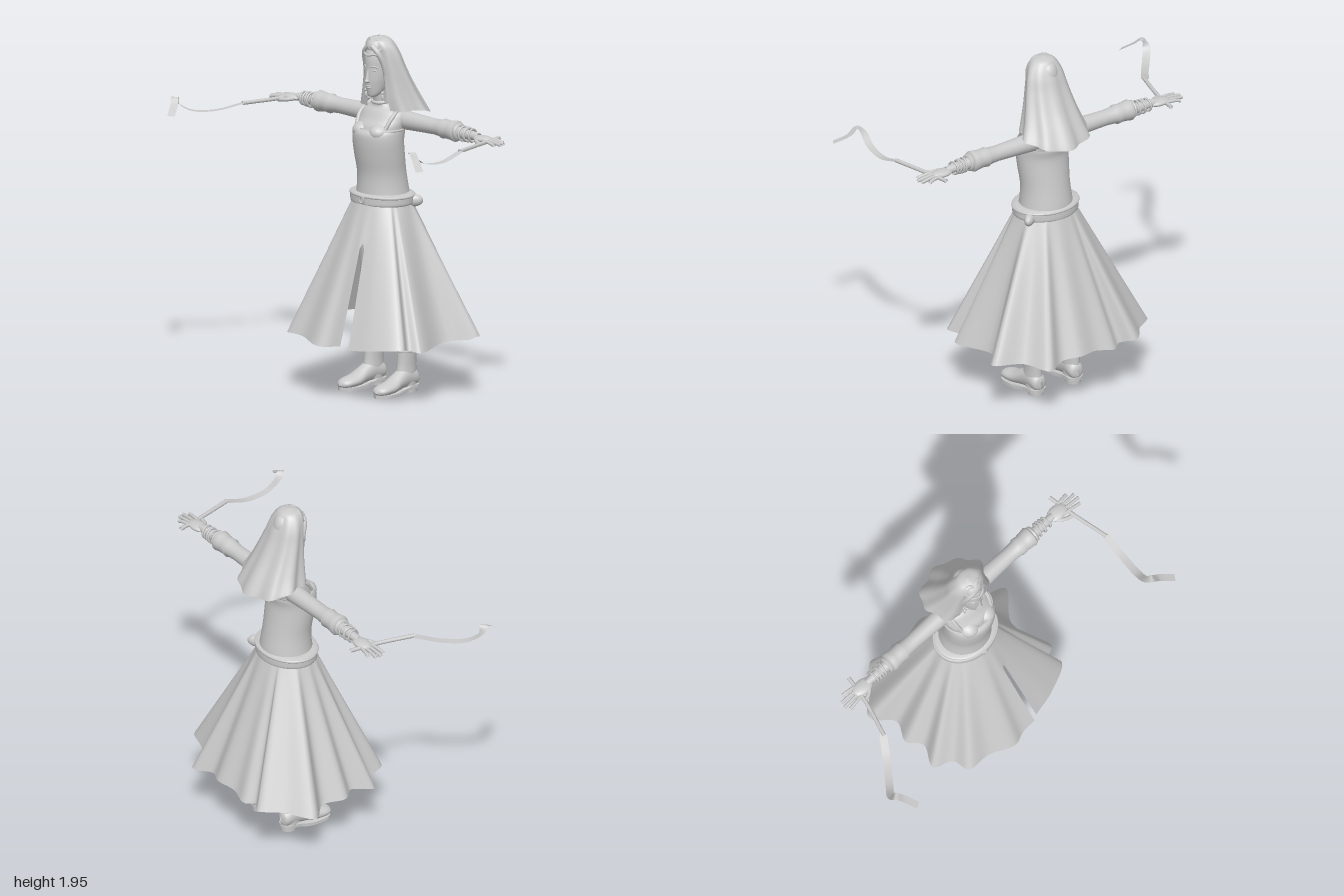
import * as THREE from 'three';

const CX = 0.057; // body axis
const grey = new THREE.MeshStandardMaterial({ color: 0xcacaca });
grey.name = 'light grey';
grey.side = THREE.DoubleSide;

function add(parent, name, geo, pos = [0, 0, 0], rot = [0, 0, 0], scale = [1, 1, 1]) {
  const m = new THREE.Mesh(geo, grey);
  m.name = name;
  m.position.set(...pos);
  m.rotation.set(...rot);
  m.scale.set(...scale);
  parent.add(m);
  return m;
}

// Surface from a grid of points, rows running bottom to top
function grid(nu, nv, closed, fn) {
  const pos = [], idx = [], cols = closed ? nu : nu + 1;
  for (let i = 0; i <= nv; i++)
    for (let j = 0; j < cols; j++) pos.push(...fn(j / nu, i / nv));
  for (let i = 0; i < nv; i++)
    for (let j = 0; j < nu; j++) {
      const a = i * cols + j, b = i * cols + (j + 1) % cols;
      idx.push(a, b, b + cols, a, b + cols, a + cols);
    }
  const g = new THREE.BufferGeometry();
  g.setAttribute('position', new THREE.Float32BufferAttribute(pos, 3));
  g.setIndex(idx);
  g.computeVertexNormals();
  return g;
}

// Smooth interpolation through rows of numbers
function sample(rows, t) {
  const f = t * (rows.length - 1), i = Math.min(Math.floor(f), rows.length - 2), u = f - i;
  const at = k => rows[Math.max(0, Math.min(rows.length - 1, k))];
  return at(i).map((p1, k) => {
    const p0 = at(i - 1)[k], p2 = at(i + 1)[k], p3 = at(i + 2)[k];
    return p1 + 0.5 * u * (p2 - p0 + u * (2 * p0 - 5 * p1 + 4 * p2 - p3 + u * (3 * (p1 - p2) + p3 - p0)));
  });
}

// Elliptical loft, rows are [y, cx, cz, rx, rz]
const loft = (rows, n = 32) => grid(n, (rows.length - 1) * 4, true, (u, v) => {
  const [y, cx, cz, rx, rz] = sample(rows, v), a = u * Math.PI * 2;
  return [cx + Math.max(rx, 0.001) * Math.sin(a), y, cz + Math.max(rz, 0.001) * Math.cos(a)];
});

const curve = pts => new THREE.CatmullRomCurve3(pts.map(p => new THREE.Vector3(...p)));
const tube = (pts, r, n = 16) => new THREE.TubeGeometry(curve(pts), n, r, 8);
const ball = (r = 1) => new THREE.SphereGeometry(r, 20, 14);

function makeSkirt(g) {
  const hem = curve([[.2, 0, .285], [.35, 0, .25], [.5, 0, .17], [.47, 0, .1], [.53, 0, .06], [.46, 0, -.18],
    [.57, 0, -.34], [.41, 0, -.41], [.33, 0, -.54], [.22, 0, -.49], [.12, 0, -.53], [0, 0, -.51], [-.1, 0, -.53],
    [-.16, 0, -.49], [-.24, 0, -.54], [-.34, 0, -.43], [-.465, 0, -.32], [-.37, 0, -.2], [-.42, 0, -.08],
    [-.36, 0, 0], [-.41, 0, .12], [-.31, 0, .17], [-.28, 0, .27], [-.15, 0, .28], [0, 0, .335], [.08, 0, .31], [.165, 0, .31]]);
  const at = (u, v) => {
    const h = hem.getPoint(u), a = Math.atan2(h.x - CX, h.z + 0.11);
    const wx = CX + 0.16 * Math.sin(a), wz = -0.115 + 0.14 * Math.cos(a);
    const low = 0.315 - 0.012 * Math.cos(u * 40) + (h.z < -0.3 ? 0.012 : 0);
    return [h.x + (wx - h.x) * v, low + (1.07 - low) * v, h.z + (wz - h.z) * v];
  };
  add(g, 'skirt', grid(156, 24, false, (u, v) => {
    const p = at(u, v);
    // front slit stays open only below the knee
    if ((u === 0 || u === 1) && v > 0.7) {
      const q = at(1 - u, v);
      return p.map((c, k) => (c + q[k]) / 2);
    }
    return p;
  }));
}

function makeTorso(g) {
  add(g, 'bodice', loft([[1.04, CX, -.118, .16, .142], [1.1, CX, -.12, .147, .137], [1.2, CX, -.112, .138, .127],
    [1.3, CX, -.095, .145, .127], [1.38, CX, -.085, .15, .127], [1.43, CX, -.09, .15, .13], [1.455, CX, -.1, .148, .115]], 40));
  add(g, 'chest', loft([[1.4, CX, -.095, .135, .11], [1.46, CX, -.11, .145, .115], [1.5, CX, -.125, .15, .1],
    [1.54, CX, -.135, .14, .085], [1.565, CX, -.135, .09, .065], [1.59, CX, -.12, .052, .052], [1.67, CX, -.1, .045, .045]]));
  add(g, 'necklineTrim', new THREE.TorusGeometry(1, 0.04, 8, 48), [CX, 1.45, -.1], [Math.PI / 2, 0, 0], [.148, .117, .15]);
  add(g, 'choker', new THREE.TorusGeometry(0.053, 0.009, 8, 28), [CX, 1.595, -.115], [Math.PI / 2 + .15, 0, 0]);
  for (const s of [-1, 1]) {
    add(g, 'bust', ball(), [CX + s * .06, 1.435, -.045], [0, 0, 0], [.062, .05, .075]);
    add(g, 'shoulderStrap', tube([[CX + s * .105, 1.45, -.025], [CX + s * .12, 1.52, -.07], [CX + s * .115, 1.56, -.14],
      [CX + s * .12, 1.5, -.215]], .011));
  }
  // belt with buckle and pouch
  add(g, 'belt', loft([[1.035, CX, -.118, .16, .14], [1.04, CX, -.116, .186, .152], [1.065, CX, -.116, .19, .153],
    [1.09, CX, -.116, .186, .15], [1.098, CX, -.118, .15, .135]], 40));
  add(g, 'beltEdge', new THREE.TorusGeometry(1, .05, 8, 48), [CX, 1.085, -.116], [Math.PI / 2, 0, 0], [.187, .149, .16]);
  add(g, 'buckle', new THREE.TorusGeometry(.018, .005, 6, 20), [CX, 1.068, .04]);
  add(g, 'pouch', ball(), [.215, 1.055, -.19], [0, .7, 0], [.055, .035, .028]);
}

function makeHead(g) {
  add(g, 'head', loft([[1.622, CX, -.045, .005, .005], [1.628, CX, -.045, .024, .024], [1.65, CX, -.06, .042, .046],
    [1.69, CX, -.08, .056, .073], [1.73, CX, -.088, .065, .083], [1.78, CX, -.093, .069, .087], [1.84, CX, -.1, .069, .094],
    [1.89, CX, -.105, .062, .083], [1.925, CX, -.11, .04, .052], [1.935, CX, -.11, .003, .003]]));
  add(g, 'nose', loft([[1.702, CX, -.012, .004, .006], [1.712, CX, -.006, .014, .02], [1.725, CX, -.008, .01, .018],
    [1.76, CX, -.012, .007, .012], [1.785, CX, -.015, .006, .008]], 16));
  add(g, 'upperLip', ball(), [CX, 1.686, -.012], [0, 0, 0], [.021, .006, .009]);
  add(g, 'lowerLip', ball(), [CX, 1.676, -.014], [0, 0, 0], [.018, .007, .009]);
  for (const s of [-1, 1]) {
    add(g, 'eye', ball(), [CX + s * .029, 1.772, -.022], [0, s * .3, 0], [.014, .007, .008]);
    add(g, 'eyebrow', tube([[CX + s * .013, 1.79, -.008], [CX + s * .03, 1.797, -.014], [CX + s * .05, 1.788, -.034]], .004));
    add(g, 'sideHair', tube([[CX + s * .012, 1.905, -.028], [CX + s * .05, 1.87, -.035], [CX + s * .07, 1.8, -.06],
      [CX + s * .073, 1.7, -.08], [CX + s * .07, 1.6, -.085]], .016));
    add(g, 'earring', ball(.009), [CX + s * .062, 1.65, -.055]);
    add(g, 'earringDrop', ball(), [CX + s * .062, 1.625, -.055], [0, 0, 0], [.007, .016, .007]);
    add(g, 'hairRoll', new THREE.TorusGeometry(.03, .014, 8, 20), [CX + s * .03, 1.905, -.05], [-.4, s * .4, 0]);
  }
  add(g, 'hairCrown', ball(), [CX, 1.895, -.09], [0, 0, 0], [.066, .055, .075]);
  add(g, 'headband', tube([[CX - .065, 1.84, -.05], [CX - .04, 1.862, -.02], [CX, 1.855, -.004], [CX + .04, 1.862, -.02],
    [CX + .065, 1.84, -.05]], .006));

  // veil, open at the front; rows are [y, half width, front z, back z]
  const rows = [[1.555, .195, -.05, -.375], [1.62, .17, -.045, -.33], [1.7, .147, -.045, -.275], [1.79, .125, -.04, -.225],
    [1.86, .108, -.035, -.195], [1.91, .085, -.03, -.17], [1.94, .055, -.045, -.145], [1.953, .003, -.09, -.1]];
  add(g, 'veil', grid(96, 36, false, (u, v) => {
    const [y, w, zf, zb] = sample(rows, v);
    const a = Math.PI + (u - 0.5) * Math.PI * 1.68, k = 1 - v;
    const f = 1 + 0.05 * k * Math.cos((u - 0.5) * 44) + 0.03 * k * Math.cos((u - 0.5) * 27 + 1);
    const back = Math.max(0, -Math.cos(a));
    return [CX + 0.012 * k + Math.max(w, .002) * f * Math.sin(a), y - 0.05 * back * k * k * k,
      (zf + zb) / 2 + f * (zf - zb) / 2 * Math.cos(a)];
  }));
}

function makeArm(g, s) {
  const arm = new THREE.Group();
  arm.name = s > 0 ? 'leftArm' : 'rightArm';
  arm.position.set(CX, 1.497, -.16);
  g.add(arm);
  const turned = pts => new THREE.LatheGeometry(pts.map(([d, r]) => new THREE.Vector2(r, d)), 28);
  const along = [0, 0, -s * Math.PI / 2];
  add(arm, 'sleeve', turned([[.08, .04], [.12, .052], [.17, .05], [.26, .046], [.36, .043], [.42, .047], [.428, .054],
    [.46, .05], [.49, .053], [.52, .058], [.53, .05], [.532, .035]]), [0, 0, 0], along);
  add(arm, 'forearm', turned([[.5, .034], [.56, .03], [.62, .025], [.66, .023], [.69, .02]]), [0, -.004, 0], along);
  add(arm, 'cuffRuffle', turned([[.522, .036], [.535, .05], [.548, .046], [.55, .034]]), [0, 0, 0], along);
  [[.575, .038], [.6, .037], [.612, .036], [.64, .034]].forEach(([d, r], i) =>
    add(arm, 'bangle', new THREE.TorusGeometry(r, .006, 8, 24), [s * d, -.004, 0], [0, Math.PI / 2 + (i % 2 ? .15 : -.12), 0]));
  add(arm, 'palm', ball(), [s * .72, -.01, 0], [0, 0, 0], [.065, .019, .042]);
  for (let i = 0; i < 4; i++) {
    const z = (i - 1.5) * .02, len = [.83, .862, .868, .85][i];
    add(arm, 'finger', tube([[s * .74, -.01, z], [s * .8, -.012, z * 1.25], [s * len, -.02, z * 1.45]], .0095));
  }
  add(arm, 'thumb', tube([[s * .69, -.012, .025], [s * .725, -.018, .052], [s * .77, -.022, .066]], .011));
}

// Handle held under the palm with a flat curling streamer
function makeStreamer(g, side, handle, path) {
  add(g, side + 'Handle', tube(handle, .011), [0, 0, 0]);
  const c = curve(path), up = new THREE.Vector3(0, 1, 0);
  add(g, side + 'Streamer', grid(1, 60, false, (u, v) => {
    const p = c.getPoint(v), w = c.getTangent(v).cross(up).normalize();
    return p.addScaledVector(w, (u - 0.5) * .042).toArray();
  }));
}

function makeLeg(g, s) {
  const x = CX + s * .125, leg = new THREE.Group();
  leg.name = s > 0 ? 'leftLeg' : 'rightLeg';
  g.add(leg);
  add(leg, 'thigh', loft([[.38, x, -.18, .05, .055], [.5, x, -.17, .058, .062], [.7, x - s * .02, -.15, .068, .075],
    [1.0, x - s * .045, -.13, .075, .085]], 20));
  add(leg, 'bootShaft', loft([[.04, x, -.18, .04, .06], [.1, x, -.172, .042, .066], [.15, x, -.174, .041, .062],
    [.22, x, -.177, .045, .06], [.31, x, -.182, .052, .063], [.4, x, -.182, .056, .065]], 24));
  add(leg, 'bootCuff', loft([[.37, x, -.182, .055, .064], [.375, x, -.182, .066, .073], [.42, x, -.182, .068, .075],
    [.425, x, -.182, .05, .055]], 24));
  for (const y of [.23, .26, .3])
    add(leg, 'bootStrap', new THREE.TorusGeometry(1, .08, 6, 28), [x, y, -.179], [Math.PI / 2, 0, 0], [.05, .062, .07]);
  // foot, turned slightly outward
  const foot = new THREE.Group();
  foot.name = 'foot';
  foot.position.set(x, 0, -.18);
  foot.rotation.y = s * .05;
  leg.add(foot);
  add(foot, 'bootFoot', loft([[-.066, 0, -.07, .01, .02], [-.05, 0, -.075, .042, .045], [.02, 0, -.085, .044, .062],
    [.08, 0, -.068, .046, .05], [.14, 0, -.046, .055, .036], [.2, 0, -.038, .053, .029], [.235, 0, -.033, .036, .021],
    [.25, 0, -.03, .004, .004]], 24), [0, 0, 0], [Math.PI / 2, 0, 0]);
  const outline = new THREE.Shape(curve([[0, .25, 0], [.05, .215, 0], [.058, .14, 0], [.044, .04, 0], [.042, -.05, 0],
    [0, -.066, 0], [-.042, -.05, 0], [-.044, .04, 0], [-.058, .14, 0], [-.05, .215, 0], [0, .25, 0]])
    .getPoints(40).map(p => new THREE.Vector2(p.x, p.y)));
  const sole = new THREE.ExtrudeGeometry(outline, { depth: .018, bevelEnabled: false }).rotateX(Math.PI / 2);
  const p = sole.attributes.position; // arch the sole up toward the heel
  for (let i = 0; i < p.count; i++) {
    const k = THREE.MathUtils.smoothstep(.1 - p.getZ(i), 0, .12);
    p.setY(i, p.getY(i) + .018 + .022 * k);
  }
  sole.computeVertexNormals();
  add(foot, 'sole', sole);
  add(foot, 'heel', new THREE.CylinderGeometry(.042, .04, .04, 24), [0, .02, -.018], [0, 0, 0], [1, 1, 1.1]);
}

export function createModel() {
  const g = new THREE.Group();
  g.name = 'dancer';
  makeSkirt(g);
  makeTorso(g);
  makeHead(g);
  for (const s of [-1, 1]) {
    makeArm(g, s);
    makeLeg(g, s);
  }
  makeStreamer(g, 'right', [[-.68, 1.485, -.25], [-.705, 1.482, -.1], [-.768, 1.48, .12]],
    [[-.768, 1.48, .11], [-.86, 1.445, .24], [-.94, 1.45, .34], [-.985, 1.495, .4], [-.975, 1.53, .425],
      [-.945, 1.5, .46], [-.905, 1.45, .525]]);
  makeStreamer(g, 'left', [[.81, 1.485, -.25], [.835, 1.482, -.1], [.88, 1.48, .12]],
    [[.88, 1.48, .11], [.872, 1.44, .25], [.86, 1.455, .38], [.856, 1.51, .45], [.875, 1.53, .475],
      [.92, 1.49, .49], [.99, 1.45, .535]]);
  return g;
}
